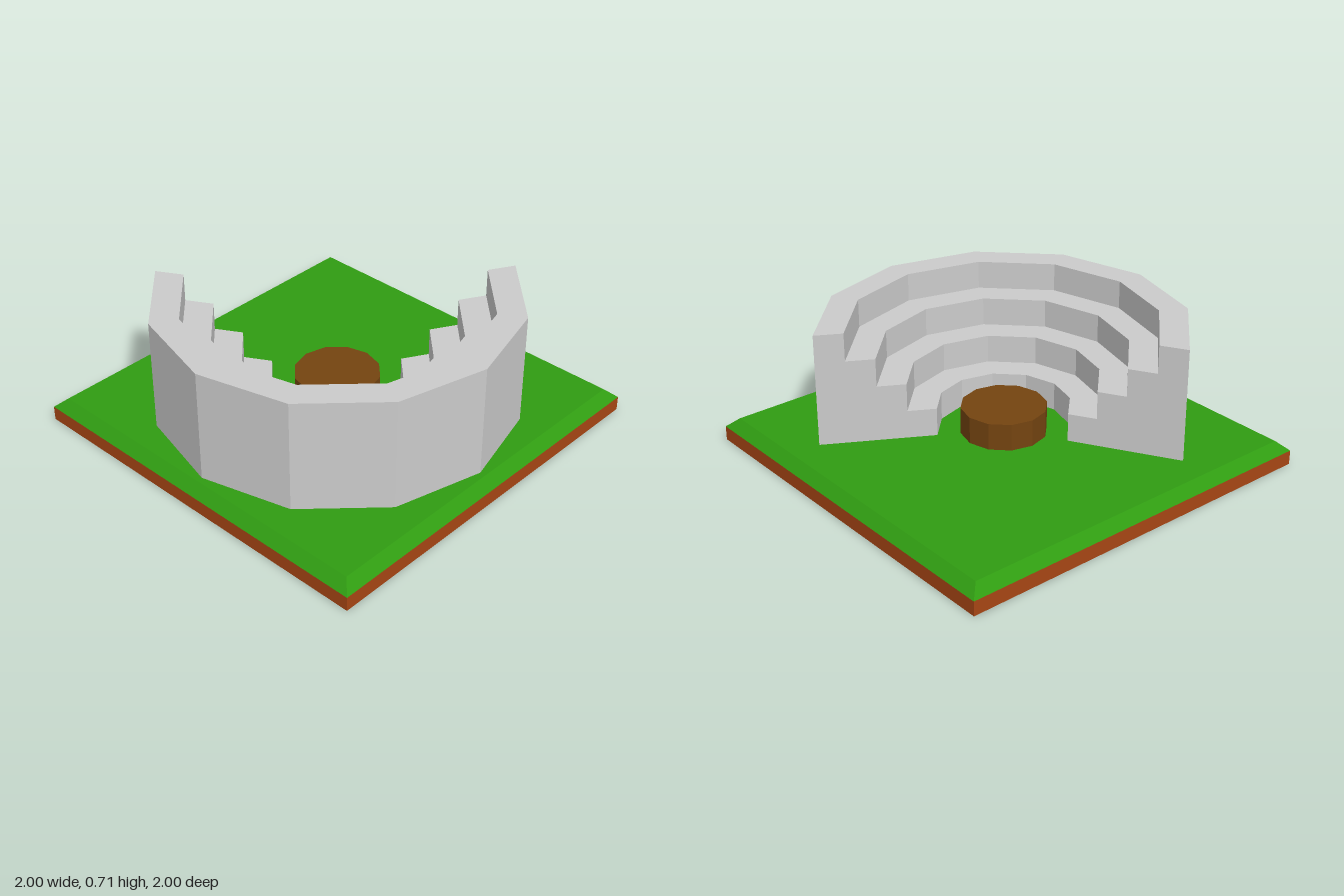
import * as THREE from 'three';

const material = (color, side = THREE.FrontSide) =>
  new THREE.MeshStandardMaterial({ color, side, flatShading: true });

export function createModel() {
  const group = new THREE.Group();
  const add = (name, geometry, mat, y = 0, parent = group) => {
    const mesh = new THREE.Mesh(geometry, mat);
    mesh.name = name;
    mesh.position.y = y;
    parent.add(mesh);
    return mesh;
  };

  // Earth slab with a bevelled lawn on top
  add('earthSlab', new THREE.BoxGeometry(2, 0.075, 2), material(0xa84614), 0.0375);
  const lawn = new THREE.CylinderGeometry(0.945 * Math.SQRT2, Math.SQRT2, 0.05, 4);
  lawn.rotateY(Math.PI / 4);
  add('lawn', lawn, material(0x309c12), 0.1);

  // Round stage in the middle
  add('stage', new THREE.CylinderGeometry(0.217, 0.217, 0.14, 12), material(0x744410), 0.195);

  // Stepped cross-section of the seating: radius, height (anticlockwise)
  const ground = 0.125, inner = 0.333, outer = 0.915, rows = 4;
  const tread = (outer - inner) / rows, rise = 0.147;
  const profile = [new THREE.Vector2(inner, ground), new THREE.Vector2(outer, ground)];
  for (let i = rows; i > 0; i--) {
    const y = ground + rise * i;
    profile.push(new THREE.Vector2(inner + tread * i, y));
    profile.push(new THREE.Vector2(inner + tread * (i - 1), y));
  }

  // Seating swept through seven flat sections, closed by an end wall on each side
  const seating = new THREE.Group();
  seating.name = 'seating';
  group.add(seating);
  const start = -Math.PI * 5 / 6, sweep = Math.PI * 7 / 6;
  add('seatingTiers', new THREE.LatheGeometry([...profile, profile[0]], 7, start, sweep),
    material(0xcccccc), 0, seating);
  for (const [name, angle] of [['backEndWall', start], ['frontEndWall', start + sweep]]) {
    const wall = add(name, new THREE.ShapeGeometry(new THREE.Shape(profile)),
      material(0xcccccc, THREE.DoubleSide), 0, seating);
    wall.rotation.y = angle - Math.PI / 2;
  }

  return group;
}
